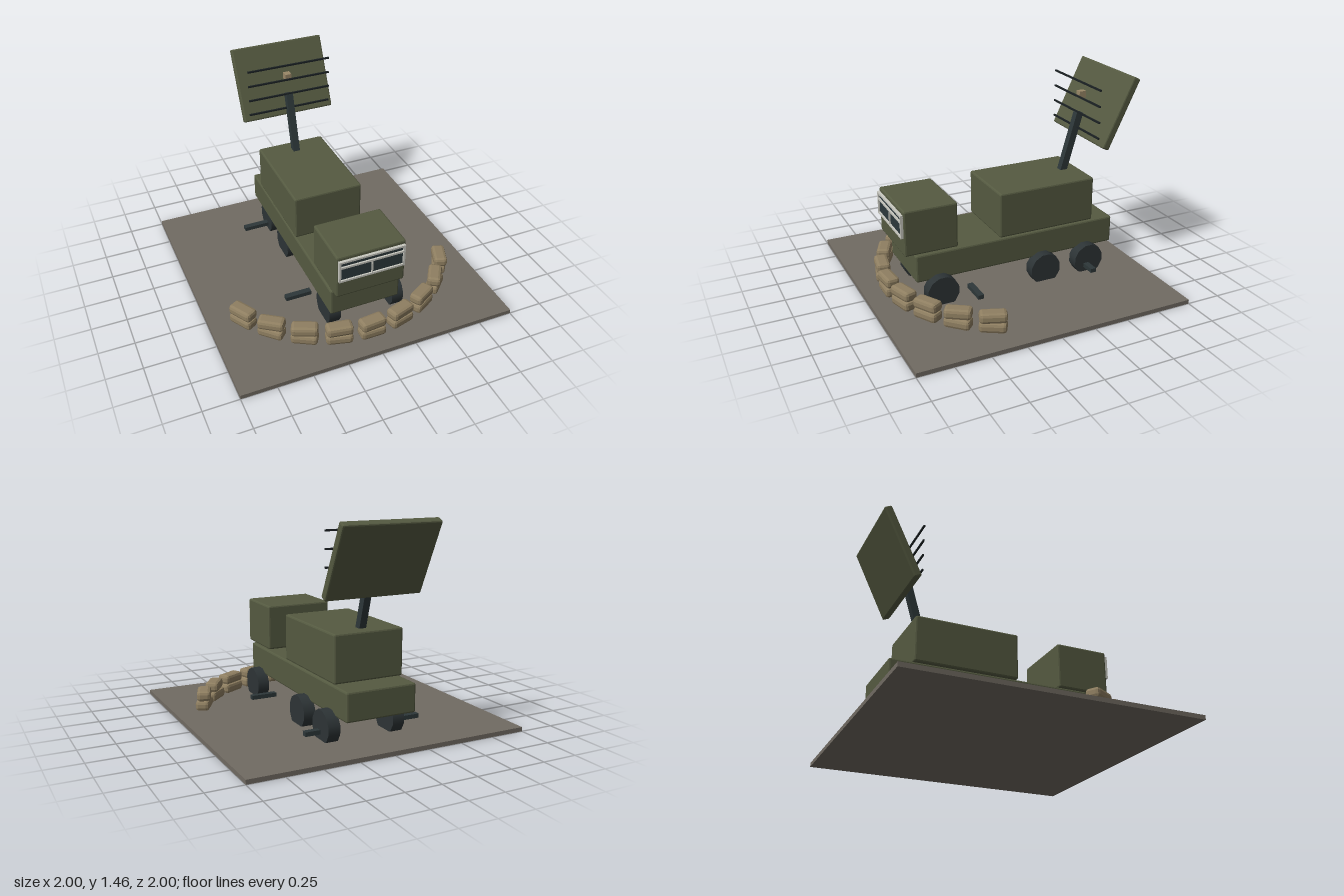
import * as THREE from 'three';
import { RoundedBoxGeometry } from 'three/addons/geometries/RoundedBoxGeometry.js';

const paint = (name, color) => {
  const m = new THREE.MeshStandardMaterial({ color });
  m.name = name;
  return m;
};

export function createModel() {
  const olive = paint('olive green', 0x555a41);
  const earth = paint('ground brown', 0x716b62);
  const steel = paint('dark steel', 0x2d3739);
  const rubber = paint('tyre rubber', 0x2d3436);
  const black = paint('rod black', 0x1c2224);
  const glass = paint('window glass', 0x2c383c);
  const trim = paint('window trim', 0xc8c8c0);
  const sand = paint('sandbag tan', 0x8f7f61);
  const feedTan = paint('feed tan', 0x9a8868);

  const model = new THREE.Group();
  model.name = 'radarTruck';

  const add = (name, geometry, material, x, y, z, parent = model) => {
    const mesh = new THREE.Mesh(geometry, material);
    mesh.name = name;
    mesh.position.set(x, y, z);
    parent.add(mesh);
    return mesh;
  };
  const box = (w, h, d) => new THREE.BoxGeometry(w, h, d);
  // box with flat chamfered edges
  const chamferBox = (w, h, d, r) => {
    const g = new RoundedBoxGeometry(w, h, d, 1, r);
    g.computeVertexNormals();
    return g;
  };

  // Ground slab
  add('ground', box(2, 0.03, 2), earth, 0, 0.015, 0);

  // Truck bodies
  add('chassis', chamferBox(0.51, 0.2, 1.535, 0.012), olive, 0, 0.293, -0.06);
  add('cab', chamferBox(0.495, 0.328, 0.385, 0.012), olive, 0, 0.564, 0.588);
  add('equipmentBody', chamferBox(0.51, 0.328, 0.742, 0.012), olive, 0, 0.564, -0.289);

  // Windscreen: glass plate behind light bars
  const windscreen = new THREE.Group();
  windscreen.name = 'windscreen';
  model.add(windscreen);
  add('windscreenGlass', box(0.46, 0.15, 0.009), glass, 0, 0.618, 0.784, windscreen);
  for (const [y, h] of [[0.694, 0.014], [0.65, 0.014], [0.542, 0.014]])
    add('windscreenRail', box(0.474, h, 0.02), trim, 0, y, 0.79, windscreen);
  for (const x of [-0.23, 0.23])
    add('windscreenPost', box(0.014, 0.152, 0.019), trim, x, 0.618, 0.79, windscreen);
  add('windscreenDivider', box(0.009, 0.1, 0.018), trim, 0, 0.596, 0.79, windscreen);

  // Wheels, set a little toward +x on both sides
  const wheel = new THREE.CylinderGeometry(0.116, 0.116, 0.086, 12);
  wheel.rotateY(Math.PI / 12);
  wheel.rotateZ(Math.PI / 2);
  for (const z of [0.54, -0.248, -0.603])
    for (const x of [-0.196, 0.282]) add('wheel', wheel, rubber, x, 0.118, z);

  // Outriggers
  for (const z of [0.31, -0.582])
    for (const side of [-1, 1])
      add('outrigger', box(0.19, 0.03, 0.042), steel, side * 0.335, 0.08, z);

  // Leaning mast
  const mast = add('mast', box(0.05, 0.56, 0.052), steel, 0, 0.88, -0.59);
  mast.rotation.x = -0.283;

  // Tilted antenna panel
  const panel = add('antennaPanel', chamferBox(0.7, 0.54, 0.056, 0.01), olive, 0, 1.208, -0.803);
  panel.rotation.x = -0.45;

  // Row of antenna rods and the feed block
  for (let i = 0; i < 4; i++)
    add('antennaRod', box(0.63, 0.012, 0.012), black, 0, 1.385 - i * 0.115, -0.648);
  add('antennaFeed', box(0.046, 0.048, 0.052), feedTan, 0, 1.28, -0.685);

  // Two courses of sandbags on an arc around the front
  const bag = chamferBox(0.185, 0.072, 0.098, 0.022);
  const upperYaw = [-60, -35, -25, -10, 5, 18, 30, 57, 69];
  const sandbags = new THREE.Group();
  sandbags.name = 'sandbagWall';
  model.add(sandbags);
  for (let i = 0; i < 9; i++) {
    const angle = THREE.MathUtils.degToRad((i - 4) * 15);
    for (let layer = 0; layer < 2; layer++) {
      const b = add('sandbag', bag, sand, 0.887 * Math.sin(angle), 0.065 + layer * 0.07,
        -0.062 + 0.887 * Math.cos(angle), sandbags);
      b.rotation.y = layer ? THREE.MathUtils.degToRad(upperYaw[i]) : angle;
    }
  }
  return model;
}
